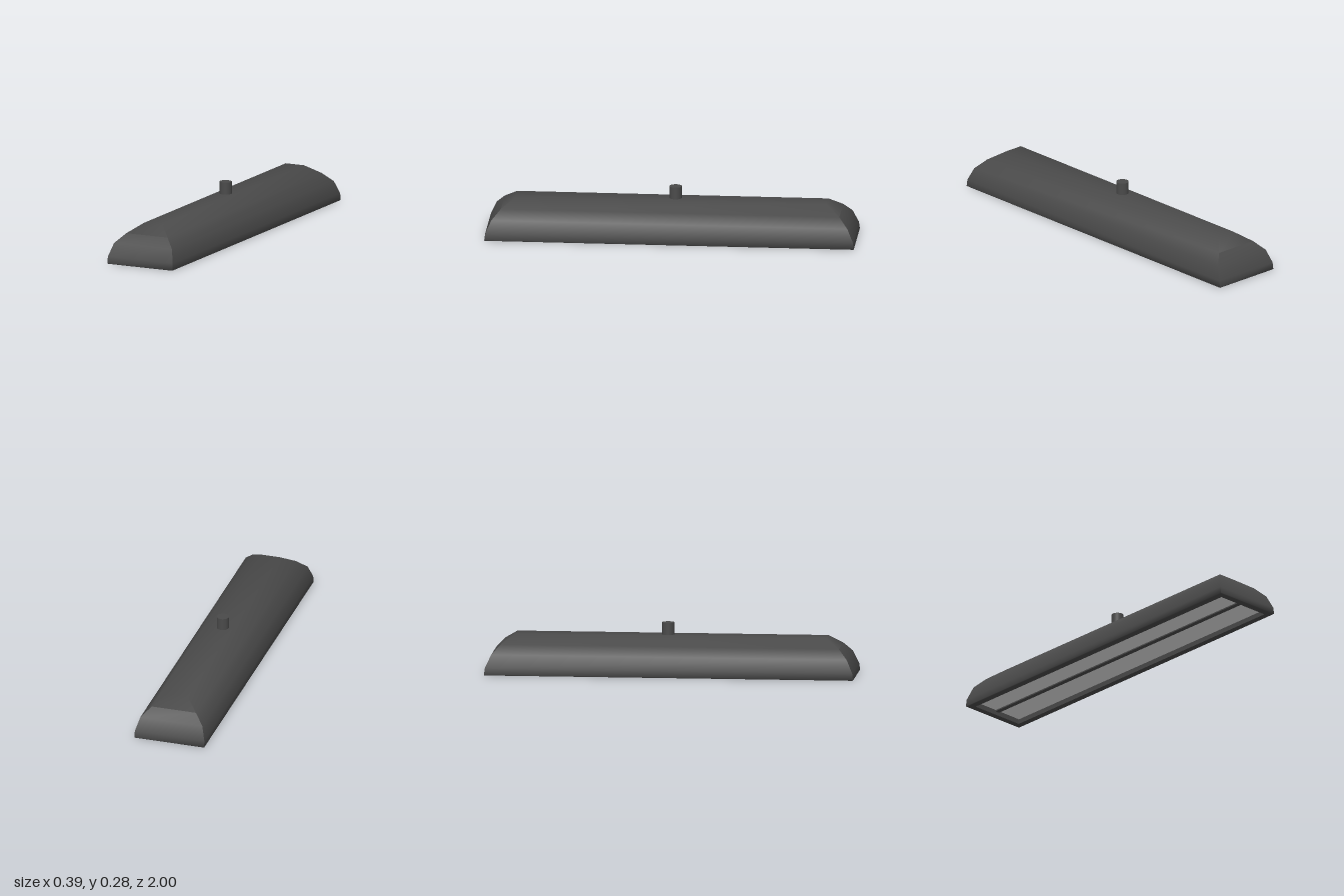
import * as THREE from 'three';
import { toCreasedNormals } from 'three/addons/utils/BufferGeometryUtils.js';

// Closed solid lofted through rectangular rings of [halfWidth, halfLength, height]
function loftRectangles(rings) {
  const corners = [[1, 1], [1, -1], [-1, -1], [-1, 1]];
  const positions = [];
  const index = [];
  for (const [hx, hz, y] of rings) {
    for (const [sx, sz] of corners) positions.push(sx * hx, y, sz * hz);
  }
  for (let i = 0; i < rings.length - 1; i++) {
    for (let j = 0; j < 4; j++) {
      const a = i * 4 + j;
      const b = i * 4 + (j + 1) % 4;
      index.push(a, b, b + 4, a, b + 4, a + 4);
    }
  }
  const t = (rings.length - 1) * 4;
  index.push(2, 1, 0, 3, 2, 0);
  index.push(t, t + 1, t + 2, t, t + 2, t + 3);
  const geometry = new THREE.BufferGeometry();
  geometry.setAttribute('position', new THREE.Float32BufferAttribute(positions, 3));
  geometry.setIndex(index);
  return toCreasedNormals(geometry, THREE.MathUtils.degToRad(55));
}

export function createModel() {
  const model = new THREE.Group();
  model.name = 'ceilingLamp';

  const housingGrey = new THREE.MeshStandardMaterial({ color: 0x4a4a4a });
  housingGrey.name = 'housing grey';
  const diffuserWhite = new THREE.MeshStandardMaterial({ color: 0xe6e6e6 });
  diffuserWhite.name = 'diffuser white';

  function add(name, geometry, material, x = 0, y = 0, z = 0) {
    const mesh = new THREE.Mesh(geometry, material);
    mesh.name = name;
    mesh.position.set(x, y, z);
    model.add(mesh);
  }

  // Housing: recess ceiling, inner wall, bottom rim, then the domed outside
  add('housing', loftRectangles([
    [0.16, 0.963, 0.03],
    [0.16, 0.963, 0],
    [0.194, 0.997, 0],
    [0.197, 1.0, 0.003],
    [0.196, 0.995, 0.04],
    [0.175, 0.963, 0.11],
    [0.125, 0.916, 0.16],
    [0.055, 0.842, 0.21],
  ]), housingGrey);

  // Two long light panels lying flat in the recess
  for (const side of [-1, 1]) {
    add(side > 0 ? 'leftLightPanel' : 'rightLightPanel',
      new THREE.BoxGeometry(0.146, 0.004, 1.92), diffuserWhite, side * 0.086, 0.028, 0);
  }

  // Dark rib dividing the panels
  add('dividerRib', new THREE.BoxGeometry(0.026, 0.012, 1.926), housingGrey, 0, 0.025, 0);

  // Mounting stem on top
  add('stem', new THREE.CylinderGeometry(0.033, 0.033, 0.076, 32), housingGrey, 0, 0.238, -0.02);

  return model;
}
